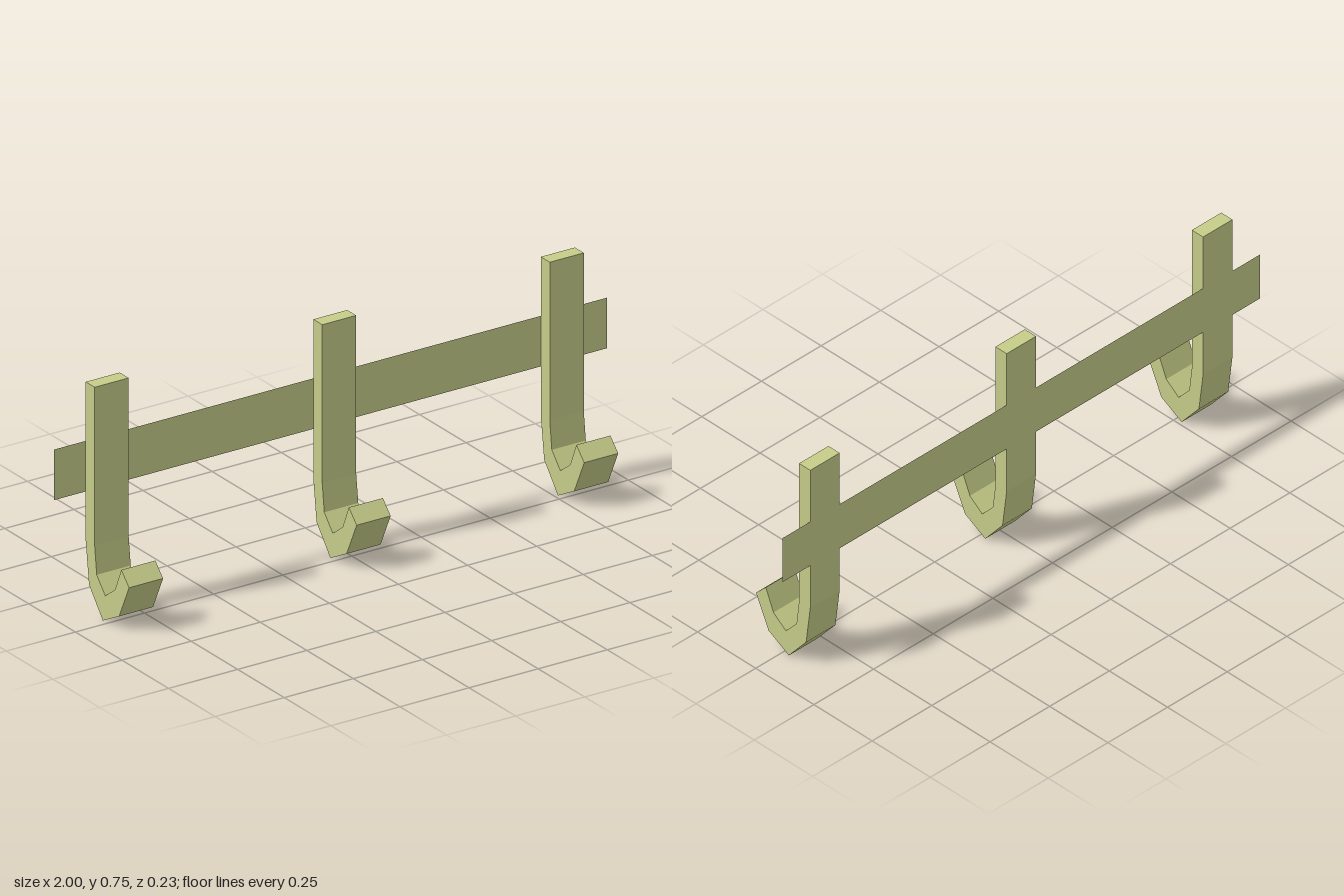
import * as THREE from 'three';

const HOOK_WIDTH = 0.123;
const BACK_Z = -0.116;

// Side outline of one hook as [z, y]
const HOOK_OUTLINE = [
  [-0.068, 0.75], [BACK_Z, 0.75], [BACK_Z, 0.23], [-0.098, 0.09],
  [-0.024, 0], [0.063, 0.046], [0.117, 0.16], [0.075, 0.203],
  [0.042, 0.126], [-0.011, 0.086], [-0.057, 0.138], [-0.068, 0.23],
];

export function createModel() {
  const group = new THREE.Group();
  group.name = 'hookRack';
  const material = new THREE.MeshStandardMaterial({
    color: 0xc5cc88, flatShading: true, side: THREE.DoubleSide,
  });

  // Flat strip joining the hooks along their backs
  const rail = new THREE.Mesh(new THREE.PlaneGeometry(2, 0.166), material);
  rail.name = 'backRail';
  rail.position.set(0, 0.473, BACK_Z);
  group.add(rail);

  // Three identical hooks, extruded across the width
  const shape = new THREE.Shape(HOOK_OUTLINE.map(([z, y]) => new THREE.Vector2(z, y)));
  const hookGeometry = new THREE.ExtrudeGeometry(shape, { depth: HOOK_WIDTH, bevelEnabled: false })
    .translate(0, 0, -HOOK_WIDTH / 2)
    .rotateY(-Math.PI / 2);
  const hooks = { rightHook: -0.823, middleHook: 0, leftHook: 0.823 };
  for (const [name, x] of Object.entries(hooks)) {
    const hook = new THREE.Mesh(hookGeometry, material);
    hook.name = name;
    hook.position.x = x;
    group.add(hook);
  }
  return group;
}
